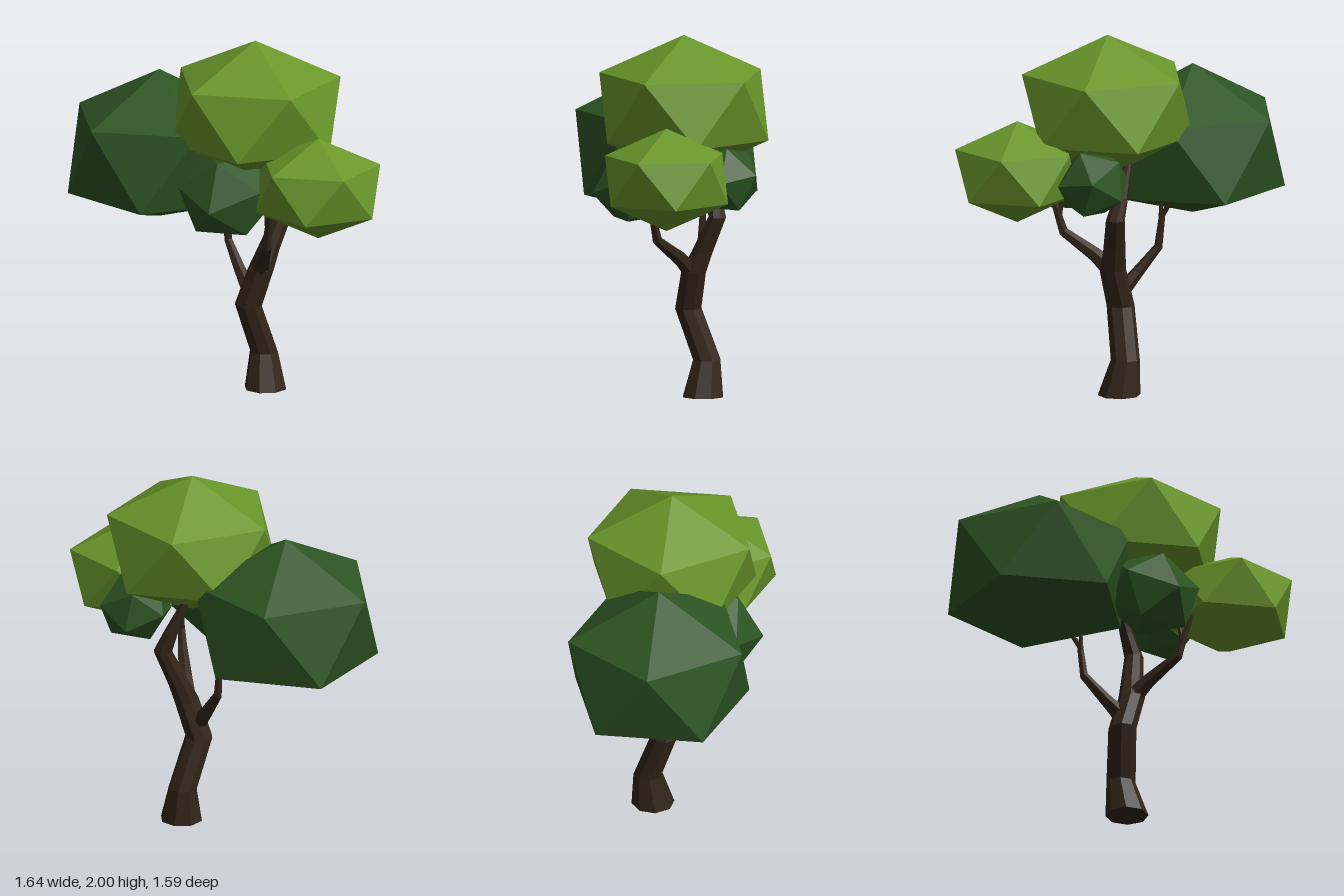
import * as THREE from 'three';

const material = (color) => new THREE.MeshStandardMaterial({ color, flatShading: true });
const bark = material(0x33261a);
const lightLeaf = material(0x69962a);
const darkLeaf = material(0x2d5423);

function facetedMesh(name, points, index, mat) {
  const indexed = new THREE.BufferGeometry().setFromPoints(points);
  indexed.setIndex(index);
  const geometry = indexed.toNonIndexed();
  geometry.computeVertexNormals();
  const mesh = new THREE.Mesh(geometry, mat);
  mesh.name = name;
  return mesh;
}

// Twenty-sided leaf clump standing on a point; bottom is the depth of its lowest tip
function leafClump(name, mat, center, radius, height, bottom = height, rotation = [0, 0, 0]) {
  const points = [new THREE.Vector3(0, height, 0)];
  for (const [level, turn] of [[0.449, 0], [-0.449, 0.5]]) {
    for (let k = 0; k < 5; k++) {
      const a = ((k + turn) * Math.PI * 2) / 5;
      points.push(new THREE.Vector3(Math.cos(a) * radius * 0.894, level * height, -Math.sin(a) * radius * 0.894));
    }
  }
  points.push(new THREE.Vector3(0, -bottom, 0));
  const index = [];
  for (let k = 0; k < 5; k++) {
    const n = (k + 1) % 5;
    const [u, un, l, ln] = [1 + k, 1 + n, 6 + k, 6 + n];
    index.push(0, u, un, u, l, un, l, ln, un, 11, ln, l);
  }
  const mesh = facetedMesh(name, points, index, mat);
  mesh.position.set(...center);
  mesh.rotation.set(...rotation);
  return mesh;
}

// Tapered limb through stations [x, y, z, radius], with capped ends
function limb(name, stations, sides, level = false) {
  const centers = stations.map(([x, y, z]) => new THREE.Vector3(x, y, z));
  const up = new THREE.Vector3(0, 1, 0);
  const last = centers.length - 1;
  const points = [];
  const index = [];
  centers.forEach((c, i) => {
    const along = centers[Math.min(i + 1, last)].clone().sub(centers[Math.max(i - 1, 0)]).normalize();
    const tilt = new THREE.Quaternion().setFromUnitVectors(up, level ? up : along);
    for (let j = 0; j < sides; j++) {
      const a = ((j + 0.5) * Math.PI * 2) / sides;
      const r = stations[i][3];
      points.push(new THREE.Vector3(Math.cos(a) * r, 0, -Math.sin(a) * r).applyQuaternion(tilt).add(c));
    }
  });
  points.push(centers[0], centers[last]);
  const lowCap = points.length - 2;
  for (let j = 0; j < sides; j++) {
    const n = (j + 1) % sides;
    for (let i = 0; i < last; i++) {
      const a = i * sides + j, b = i * sides + n;
      index.push(a, b, b + sides, a, b + sides, a + sides);
    }
    index.push(lowCap, n, j, lowCap + 1, last * sides + j, last * sides + n);
  }
  return facetedMesh(name, points, index, bark);
}

export function createModel() {
  const tree = new THREE.Group();
  tree.name = 'tree';

  // Crooked trunk rising into the crown
  tree.add(limb('trunk', [
    [0.235, 0, -0.043, 0.118], [0.23, 0.2, -0.077, 0.08], [0.138, 0.48, -0.025, 0.077],
    [0.205, 0.69, 0, 0.073], [0.25, 0.8, -0.02, 0.062], [0.338, 1.0, -0.05, 0.052],
    [0.295, 1.12, -0.07, 0.04], [0.22, 1.3, -0.09, 0.022],
  ], 8, true));

  // Side branches, each ending in a small fork
  tree.add(limb('backBranch', [
    [0.14, 0.57, -0.04, 0.045], [0.1, 0.66, -0.11, 0.034], [0.048, 0.8, -0.215, 0.024],
    [0.04, 0.98, -0.235, 0.018], [0.045, 1.06, -0.29, 0.01],
  ], 6));
  tree.add(limb('backTwig', [[0.042, 0.93, -0.23, 0.016], [0.02, 1.08, -0.22, 0.008]], 6));
  tree.add(limb('frontBranch', [
    [0.2, 0.68, 0, 0.055], [0.203, 0.77, 0.1, 0.042], [0.207, 0.89, 0.28, 0.028],
    [0.212, 1.02, 0.32, 0.02], [0.22, 1.12, 0.36, 0.01],
  ], 6));
  tree.add(limb('frontTwig', [[0.21, 0.97, 0.305, 0.016], [0.2, 1.1, 0.28, 0.008]], 6));

  // Leaf clumps of the crown
  tree.add(leafClump('topLeaves', lightLeaf, [0.17, 1.605, 0.04], 0.525, 0.395));
  tree.add(leafClump('frontLeaves', lightLeaf, [0.47, 1.272, 0.47], 0.382, 0.283));
  tree.add(leafClump('backLeaves', darkLeaf, [-0.32, 1.278, -0.31], 0.565, 0.477, 0.358));
  tree.add(leafClump('lowerLeaves', darkLeaf, [0, 1.19, 0.21], 0.285, 0.235, 0.235, [0.35, 0.5, 0.35]));
  tree.add(leafClump('sideLeaves', darkLeaf, [0.48, 1.235, 0.04], 0.212, 0.2, 0.2, [0.4, 0.3, -0.4]));
  return tree;
}
